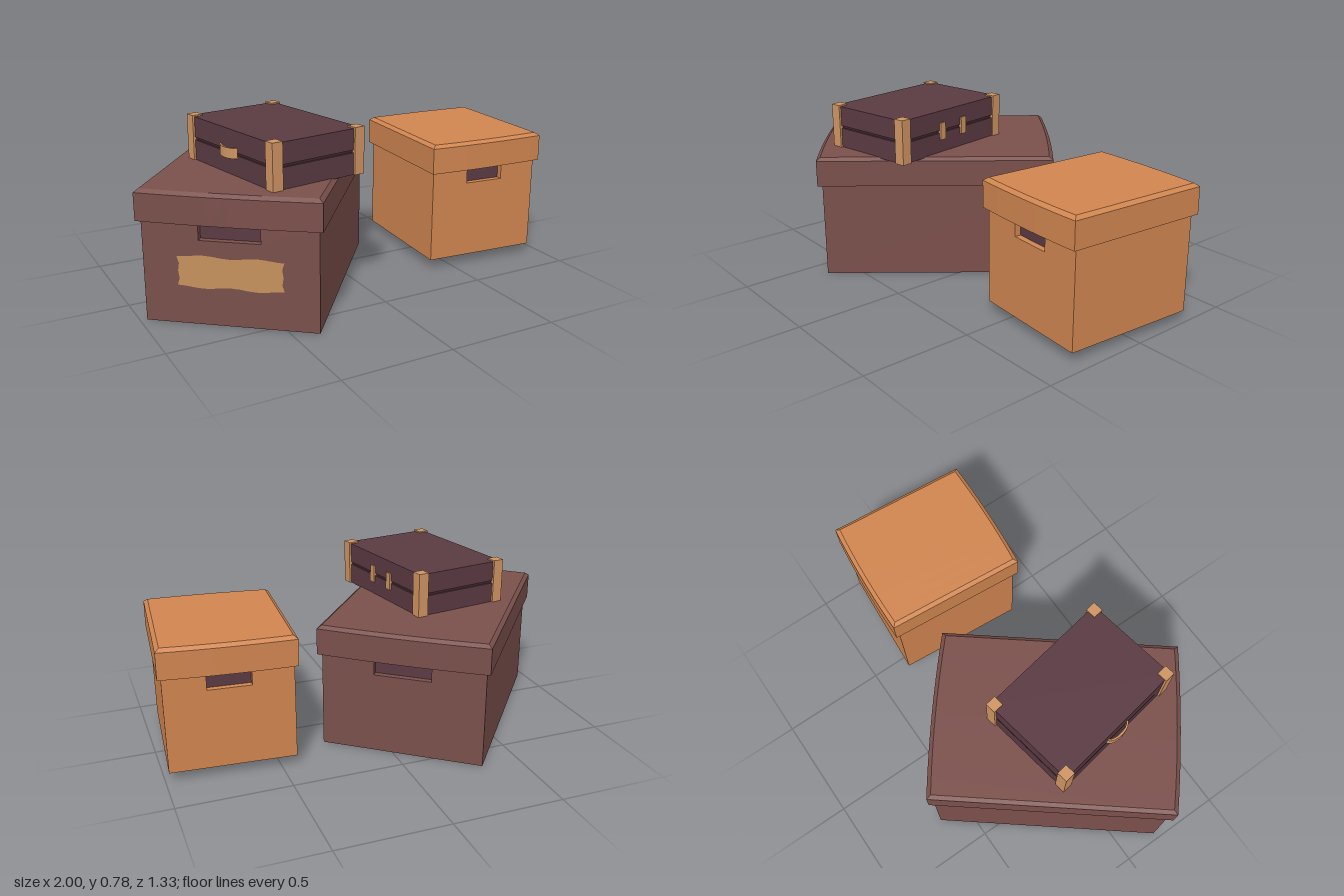
import * as THREE from 'three';

const mat = (color, extra = {}) => new THREE.MeshStandardMaterial({ color, flatShading: true, ...extra });
const brown = mat(0x7a4f4b), orange = mat(0xd08550), plum = mat(0x5a3a42), darkPlum = mat(0x3d262c);
const tan = mat(0xcf9462), tapeMat = mat(0xc4915c, { side: THREE.DoubleSide });

function add(parent, name, geometry, material, x = 0, y = 0, z = 0) {
  const mesh = new THREE.Mesh(geometry, material);
  mesh.name = name;
  mesh.position.set(x, y, z);
  parent.add(mesh);
  return mesh;
}
const box = (w, h, d) => new THREE.BoxGeometry(w, h, d);

// Lid block: the two ends bow outward and the top rim is chamfered
function lidGeometry(w, h, d, bow) {
  const g = new THREE.BoxGeometry(w, h, d, 10, 2, 1);
  const p = g.attributes.position;
  for (let i = 0; i < p.count; i++) {
    let x = p.getX(i), y = p.getY(i), z = p.getZ(i);
    z += Math.sign(z) * bow * (1 - (2 * x / w) ** 2);
    if (y > h / 4) { // top row moves in
      x *= 1 - 0.036 / w;
      z -= Math.sign(z) * 0.018;
    } else if (y > -h / 4) y = h / 2 - 0.014;
    p.setXYZ(i, x, y, z);
  }
  g.computeVertexNormals();
  return g;
}

// End wall with a hand hole open to the lid
function endWall(w, h, holeW, holeH, t) {
  const s = new THREE.Shape();
  const a = w / 2, b = holeW / 2;
  s.setFromPoints([[-a, 0], [a, 0], [a, h], [b, h], [b, h - holeH], [-b, h - holeH], [-b, h], [-a, h]]
    .map(([x, y]) => new THREE.Vector2(x, y)));
  return new THREE.ExtrudeGeometry(s, { depth: t, bevelEnabled: false });
}

function storageBox(name, o) {
  const g = new THREE.Group();
  g.name = name;
  const t = 0.03;
  add(g, 'boxBody', box(o.w, o.h, o.d - 2 * t), o.material, 0, o.h / 2, 0);
  for (const s of [1, -1]) {
    const end = new THREE.Group();
    end.name = s > 0 ? 'frontEnd' : 'backEnd';
    end.rotation.y = s > 0 ? 0 : Math.PI;
    add(end, 'endWall', endWall(o.w, o.h, o.holeW, o.holeH, t), o.material, 0, 0, o.d / 2 - t);
    add(end, 'handHole', box(o.holeW, o.holeH, 0.004), plum, 0, o.h - o.holeH / 2, o.d / 2 - t);
    g.add(end);
  }
  const lid = add(g, 'lid', lidGeometry(o.lidW, o.lidH, o.lidD, o.bow), o.material, 0, o.h - 0.006 + o.lidH / 2, 0);
  lid.rotation.z = o.tilt;
  return g;
}

// Strip of tape with wavy long edges and slightly torn ends
function tapeGeometry(w, h) {
  const top = [], bottom = [];
  for (let i = 0; i <= 12; i++) {
    const x = -w / 2 + w * i / 12, dy = 0.005 * Math.cos(i * Math.PI / 3);
    top.push(new THREE.Vector2(x, h / 2 - dy));
    bottom.unshift(new THREE.Vector2(x, -h / 2 + dy));
  }
  const notch = x => [0.25, 0, -0.25].map(k => new THREE.Vector2(x + (k === 0 ? 0.004 : 0.009) * -Math.sign(x), h * k));
  return new THREE.ShapeGeometry(new THREE.Shape([...top, ...notch(w / 2), ...bottom, ...notch(-w / 2).reverse()]));
}

// Flat strap bowed outward from the case side
function strapGeometry(half, bulge, t, height) {
  const s = new THREE.Shape();
  s.moveTo(-half, 0);
  s.bezierCurveTo(-half * 0.7, bulge * 1.33, half * 0.7, bulge * 1.33, half, 0);
  s.lineTo(half - t, 0);
  s.bezierCurveTo(half * 0.6, (bulge - t) * 1.33, -half * 0.6, (bulge - t) * 1.33, -half + t, 0);
  const g = new THREE.ExtrudeGeometry(s, { depth: height, bevelEnabled: false, curveSegments: 8 });
  g.translate(0, 0, -height / 2);
  return g.rotateX(Math.PI / 2).rotateY(-Math.PI / 2);
}

function suitcase() {
  const g = new THREE.Group();
  g.name = 'suitcase';
  const w = 0.45, d = 0.645;
  add(g, 'lowerShell', box(w, 0.096, d), plum, 0, 0.048, 0);
  add(g, 'seam', box(w - 0.014, 0.02, d - 0.014), darkPlum, 0, 0.102, 0);
  add(g, 'upperShell', box(w, 0.092, d), plum, 0, 0.154, 0);
  // Corner guards
  for (const sx of [-1, 1]) for (const sz of [-1, 1])
    add(g, 'cornerGuard', box(0.05, 0.206, 0.05), tan, sx * 0.209, 0.103, sz * 0.307);
  // Latches on one long side, carrying strap on the other
  for (const s of [-1, 1]) add(g, 'latch', box(0.016, 0.08, 0.033), tan, w / 2, 0.104, s * 0.07);
  add(g, 'handle', strapGeometry(0.065, 0.028, 0.01, 0.045), tan, -w / 2, 0.105, 0);
  return g;
}

export function createModel() {
  const model = new THREE.Group();
  model.name = 'stackedBoxes';

  const large = storageBox('largeBox', {
    w: 0.74, h: 0.45, d: 1.04, lidW: 0.775, lidH: 0.134, lidD: 1.08, bow: 0.012,
    holeW: 0.26, holeH: 0.08, material: brown, tilt: 0,
  });
  add(large, 'tape', tapeGeometry(0.45, 0.135), tapeMat, 0, 0.234, 0.523);
  large.position.set(-0.357, 0, -0.002);
  large.rotation.y = -0.676;

  const small = storageBox('smallBox', {
    w: 0.555, h: 0.442, d: 0.62, lidW: 0.585, lidH: 0.134, lidD: 0.662, bow: 0.009,
    holeW: 0.19, holeH: 0.08, material: orange, tilt: 0.01,
  });
  small.position.set(0.684, 0.045, -0.003);
  small.rotation.y = -0.075;

  const bag = suitcase();
  bag.position.set(-0.35, 0.573, 0.12);
  bag.rotation.y = 0.172;

  model.add(large, small, bag);
  return model;
}
